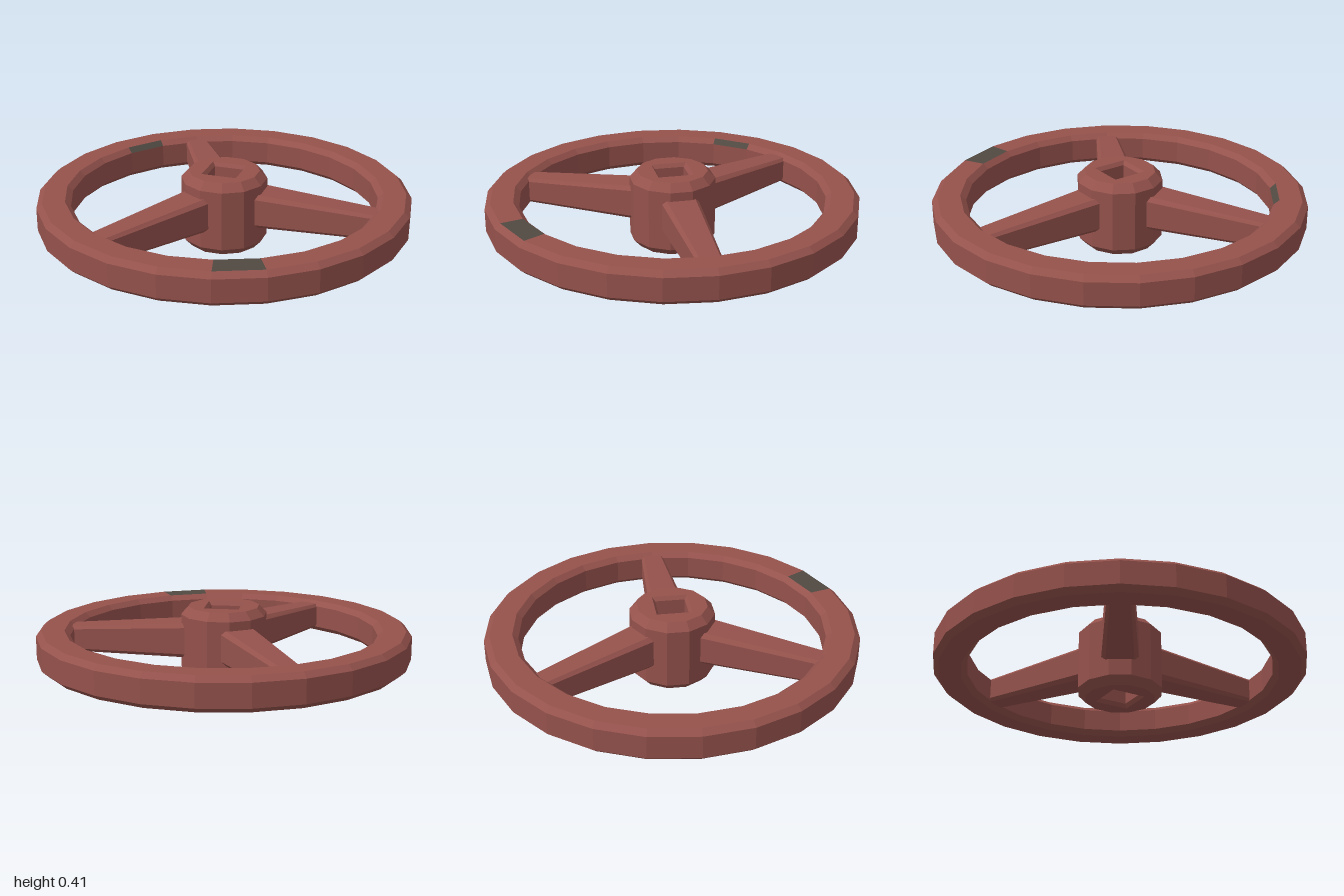
import * as THREE from 'three';

// Lathe an angular profile; counter-clockwise profiles (radius, y) face outward.
function turn(points, sides, start = 0) {
  return new THREE.LatheGeometry(points.map(([r, y]) => new THREE.Vector2(r, y)), sides, start);
}

// Give every face its own flat normal.
function facet(geometry) {
  const flat = geometry.index ? geometry.toNonIndexed() : geometry;
  flat.computeVertexNormals();
  return flat;
}

// Rim: 24-sided bevelled ring with two bare facets.
function makeRim(red, grey) {
  const profile = [
    [0.85, 0.118], [0.97, 0.118], [1, 0.145], [1, 0.268], [0.97, 0.295],
    [0.85, 0.295], [0.82, 0.268], [0.82, 0.145], [0.85, 0.118],
  ];
  const geometry = facet(turn(profile, 24));
  const bands = profile.length - 1;
  const bare = [1 * bands + 4, 15 * bands + 5]; // a top facet and an inner bevel facet
  geometry.clearGroups();
  for (let q = 0; q < 24 * bands; q++) {
    geometry.addGroup(q * 6, 6, bare.includes(q) ? 1 : 0);
  }
  return new THREE.Mesh(geometry, [red, grey]);
}

// Hub: 12-sided bevelled boss with a bevelled square bore.
function makeHub(red) {
  const profile = [
    [0.095, 0], [0.19, 0], [0.23, 0.042], [0.23, 0.366], [0.19, 0.408],
    [0.095, 0.408], [0.08, 0.388], [0.08, 0.02], [0.095, 0],
  ];
  const geometry = turn(profile, 12, Math.PI / 12);
  const p = geometry.attributes.position;
  for (let i = 0; i < p.count; i++) {
    const x = p.getX(i), z = p.getZ(i), r = Math.hypot(x, z);
    if (r > 0.12) continue;
    // push the bore from round to square
    const k = r / Math.max(Math.abs(x), Math.abs(z));
    p.setX(i, x * k);
    p.setZ(i, z * k);
  }
  return new THREE.Mesh(facet(geometry), red);
}

// Spoke: bevelled bar tapering from hub to rim, pointing along +x.
function makeSpokeGeometry() {
  const w = 0.1, h = 0.095, c = 0.022, inner = 0.17, length = 0.67;
  const section = new THREE.Shape([
    [w, -h + c], [w, h - c], [w - c, h], [-w + c, h],
    [-w, h - c], [-w, -h + c], [-w + c, -h], [w - c, -h],
  ].map(([x, y]) => new THREE.Vector2(x, y)));
  const geometry = new THREE.ExtrudeGeometry(section, { depth: length, bevelEnabled: false });
  const p = geometry.attributes.position;
  for (let i = 0; i < p.count; i++) {
    const t = p.getZ(i) / length;
    p.setX(i, p.getX(i) * (1 - 0.36 * t));
    p.setY(i, 0.227 - 0.017 * t + p.getY(i) * (1 - 0.28 * t));
  }
  geometry.translate(0, 0, inner);
  geometry.rotateY(Math.PI / 2);
  geometry.clearGroups();
  return facet(geometry);
}

export function createModel() {
  const red = new THREE.MeshStandardMaterial({ color: 0x95524c });
  red.name = 'faded red paint';
  const grey = new THREE.MeshStandardMaterial({ color: 0x504942 });
  grey.name = 'bare dark metal';

  const model = new THREE.Group();
  model.name = 'handWheel';

  const rim = makeRim(red, grey);
  rim.name = 'rim';
  const hub = makeHub(red);
  hub.name = 'hub';
  model.add(rim, hub);

  const spokeGeometry = makeSpokeGeometry();
  for (let i = 0; i < 3; i++) {
    const spoke = new THREE.Mesh(spokeGeometry, red);
    spoke.name = `spoke${i + 1}`;
    spoke.rotation.y = (i * Math.PI * 2) / 3;
    model.add(spoke);
  }
  return model;
}
